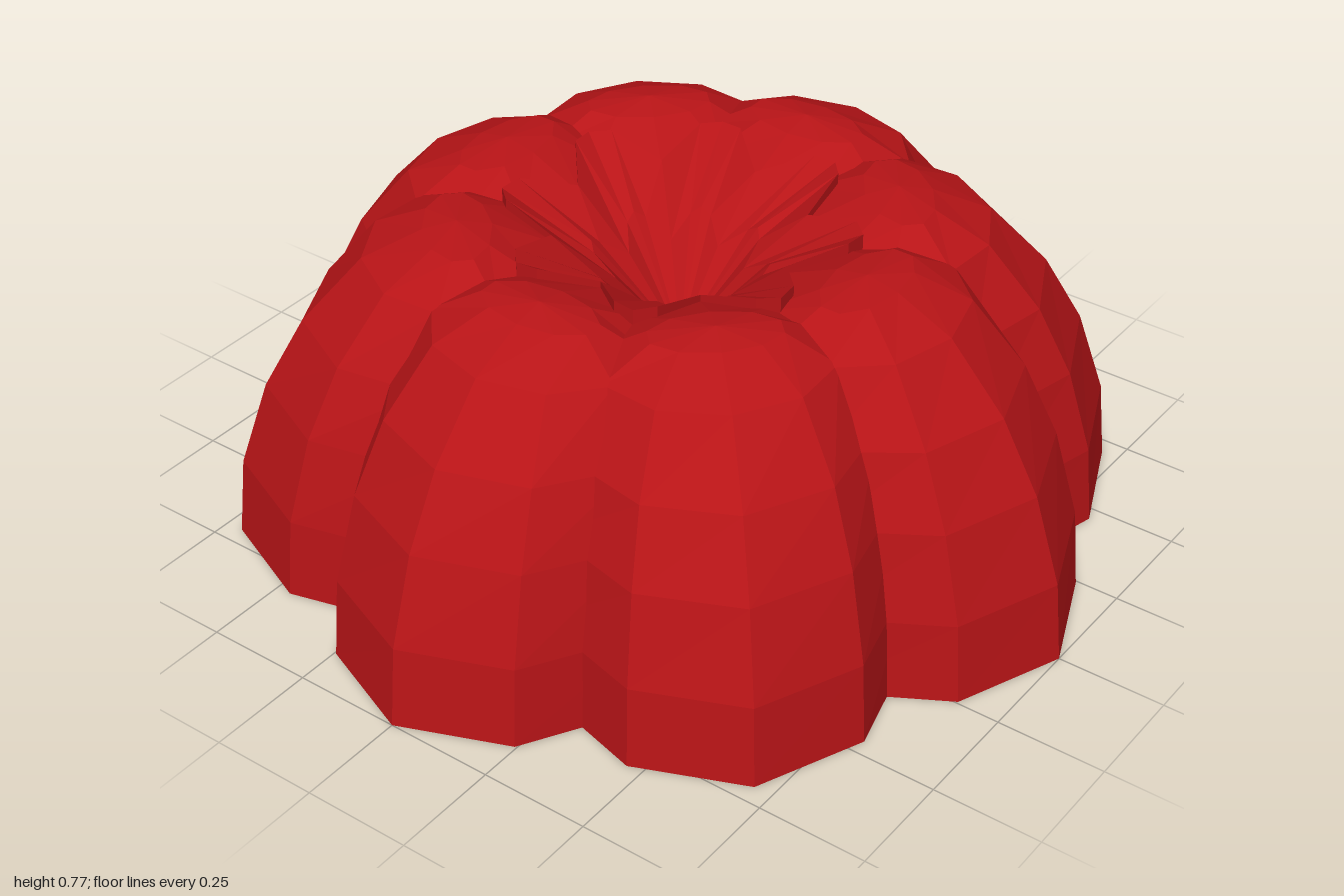
import * as THREE from 'three';

const LOBES = 8;
const SIDES = 10;

// Skin a stack of closed rings (bottom to top); the last ring is a single collapsed point
function skin(rings) {
  const n = rings[0].length;
  const positions = rings.flat(2);
  const index = [];
  for (let j = 0; j < rings.length - 1; j++) {
    for (let i = 0; i < n; i++) {
      const k = (i + 1) % n;
      const a = j * n + i, b = j * n + k, c = a + n, d = b + n;
      index.push(a, c, b);
      if (j < rings.length - 2) index.push(b, c, d);
    }
  }
  const geometry = new THREE.BufferGeometry();
  geometry.setAttribute('position', new THREE.Float32BufferAttribute(positions, 3));
  geometry.setIndex(index);
  const flat = geometry.toNonIndexed();
  flat.computeVertexNormals();
  return flat;
}

// One bulging rib: ten-sided rings shrinking towards a crown point
function lobeGeometry() {
  const profile = [ // radial scale, height
    [0, 0], [1, 0], [0.962, 0.19], [0.835, 0.39], [0.66, 0.55],
    [0.4, 0.695], [0.145, 0.755], [0, 0.77],
  ];
  return skin(profile.map(([s, y]) =>
    Array.from({ length: SIDES }, (_, i) => {
      const a = (i / SIDES) * Math.PI * 2;
      return [0.48 + 0.52 * s * Math.cos(a), y, 0.417 * s ** 0.55 * Math.sin(a)];
    })));
}

// Star-shaped funnel in the crown, notched on each rib's centre line
function starGeometry() {
  const sector = [ // angle in degrees, radius, rim height, mid height
    [0, 0.28, 0.715, 0.59], [15.5, 0.38, 0.752, 0.63],
    [22.5, 0.4, 0.75, 0.645], [29.5, 0.38, 0.752, 0.63],
  ];
  const skirt = [], rim = [], mid = [], centre = [];
  for (let l = 0; l < LOBES; l++) {
    for (const [deg, r, rimY, midY] of sector) {
      const a = (l / LOBES) * Math.PI * 2 + THREE.MathUtils.degToRad(deg);
      const x = r * Math.cos(a), z = r * Math.sin(a);
      skirt.push([x, rimY - 0.07, z]);
      rim.push([x, rimY, z]);
      mid.push([x / 2, midY, z / 2]);
      centre.push([0, 0.42, 0]);
    }
  }
  return skin([skirt, rim, mid, centre]);
}

export function createModel() {
  const model = new THREE.Group();
  model.name = 'ribbedDome';
  const material = new THREE.MeshStandardMaterial({ color: 0xb81417, flatShading: true });

  // Ribs around the centre
  const lobe = lobeGeometry();
  for (let i = 0; i < LOBES; i++) {
    const mesh = new THREE.Mesh(lobe, material);
    mesh.name = `rib${i + 1}`;
    mesh.rotation.y = (i / LOBES) * Math.PI * 2;
    model.add(mesh);
  }

  // Crown dimple
  const star = new THREE.Mesh(starGeometry(), material);
  star.name = 'crownDimple';
  model.add(star);
  return model;
}
